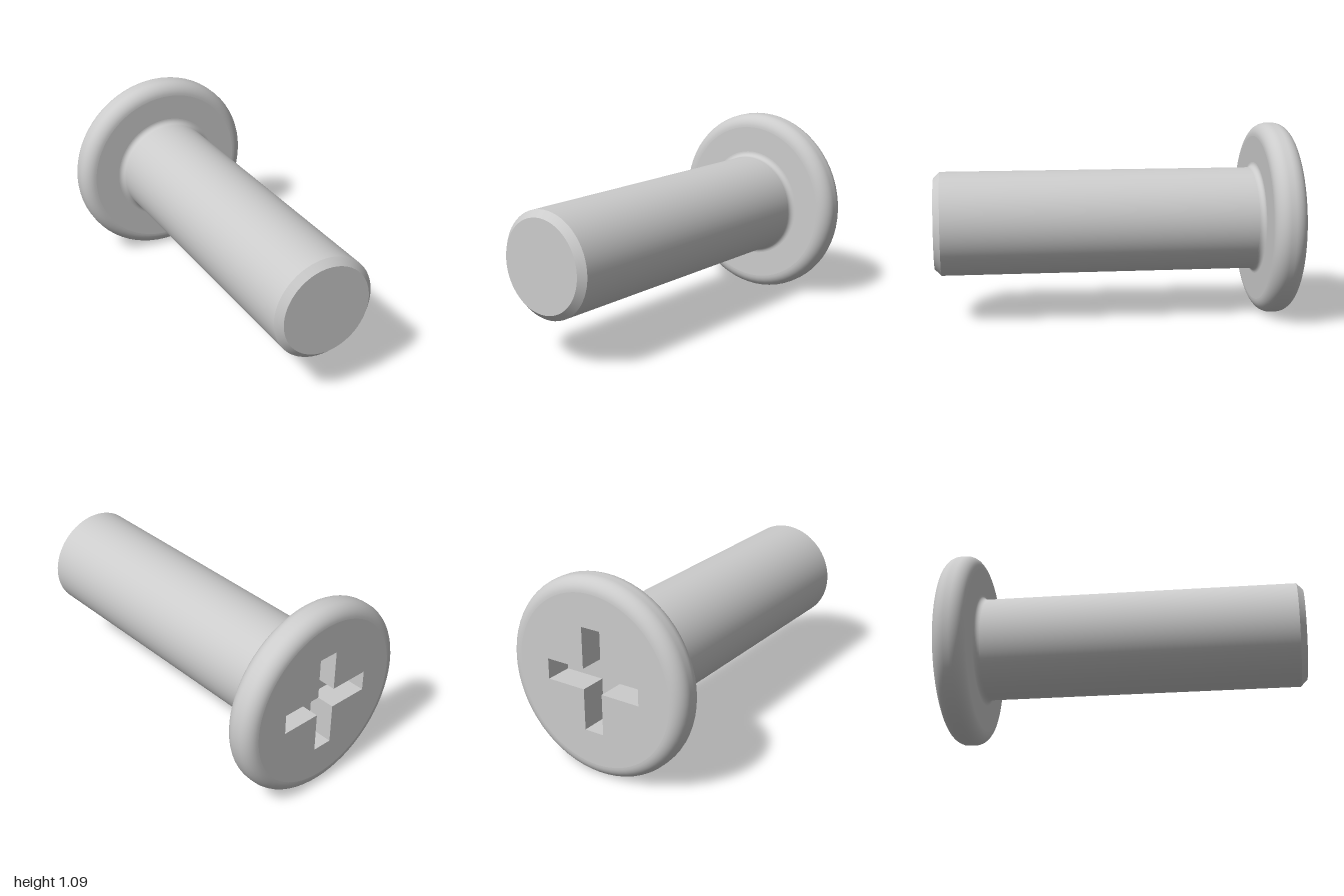
import * as THREE from 'three';

const SEGMENTS = 64;
const HEAD_R = 0.545, SHAFT_R = 0.29, TIP_R = 0.254;
const BACK = -1, UNDER = -0.82, FLOOR = -0.85;
const ROUND = 0.075, FILLET = 0.03, CHAMFER = 0.036;
const ARM = 0.285, HALF = 0.057; // half length and half width of the cross slot

export function createModel() {
  const model = new THREE.Group();
  const screw = new THREE.Group();
  screw.name = 'screw';
  screw.position.y = HEAD_R;
  model.add(screw);
  const material = new THREE.MeshStandardMaterial({ color: 0xcccccc });

  const add = (name, geometry) => {
    const mesh = new THREE.Mesh(geometry, material);
    mesh.name = name;
    screw.add(mesh);
  };
  // Profile of [radius, z] pairs, in rising z, turned about the z axis
  const turn = (name, profile) => {
    const points = profile.map(([r, z]) => new THREE.Vector2(r, z));
    add(name, new THREE.LatheGeometry(points, SEGMENTS).rotateX(Math.PI / 2));
  };
  const arc = (r, z, radius, from, to, steps = 10) =>
    Array.from({ length: steps + 1 }, (_, i) => {
      const a = THREE.MathUtils.degToRad(from + (to - from) * i / steps);
      return [r + radius * Math.cos(a), z + radius * Math.sin(a)];
    });

  // Rounded rim of the head
  const rimR = HEAD_R - ROUND;
  turn('headRim', [
    ...arc(rimR, BACK + ROUND, ROUND, -90, 0),
    ...arc(rimR, UNDER - ROUND, ROUND, 0, 90),
  ]);
  turn('headUnderside', [[rimR, UNDER], [SHAFT_R + FILLET, UNDER]]);

  // Shaft with a fillet at the head and a chamfered tip
  turn('shaftFillet', arc(SHAFT_R + FILLET, UNDER + FILLET, FILLET, 270, 180, 8));
  turn('shaft', [[SHAFT_R, UNDER + FILLET], [SHAFT_R, 1 - CHAMFER]]);
  turn('tipChamfer', [[SHAFT_R, 1 - CHAMFER], [TIP_R, 1]]);
  add('tipFace', new THREE.CircleGeometry(TIP_R, SEGMENTS).translate(0, 0, 1));

  // Cross outline, counter-clockwise, one arm per quarter turn
  const cross = [];
  for (let i = 0; i < 4; i++) {
    for (const [x, y] of [[ARM, -HALF], [ARM, HALF], [HALF, HALF]]) {
      cross.push(new THREE.Vector2(x, y).rotateAround(new THREE.Vector2(), i * Math.PI / 2));
    }
  }

  // Flat head face with the cross cut out, and the floor of the slot
  const face = new THREE.Shape().absarc(0, 0, rimR, 0, Math.PI * 2);
  face.holes.push(new THREE.Path(cross));
  add('headFace', new THREE.ShapeGeometry(face, SEGMENTS).rotateY(Math.PI).translate(0, 0, BACK));
  add('slotFloor', new THREE.ShapeGeometry(new THREE.Shape(cross)).rotateY(Math.PI).translate(0, 0, FLOOR));

  // Slot walls, facing into the cross
  const walls = [];
  cross.forEach((p, i) => {
    const q = cross[(i + 1) % cross.length];
    walls.push(p.x, p.y, BACK, q.x, q.y, FLOOR, q.x, q.y, BACK);
    walls.push(p.x, p.y, BACK, p.x, p.y, FLOOR, q.x, q.y, FLOOR);
  });
  const wallGeometry = new THREE.BufferGeometry();
  wallGeometry.setAttribute('position', new THREE.Float32BufferAttribute(walls, 3));
  wallGeometry.computeVertexNormals();
  add('slotWalls', wallGeometry);

  return model;
}
